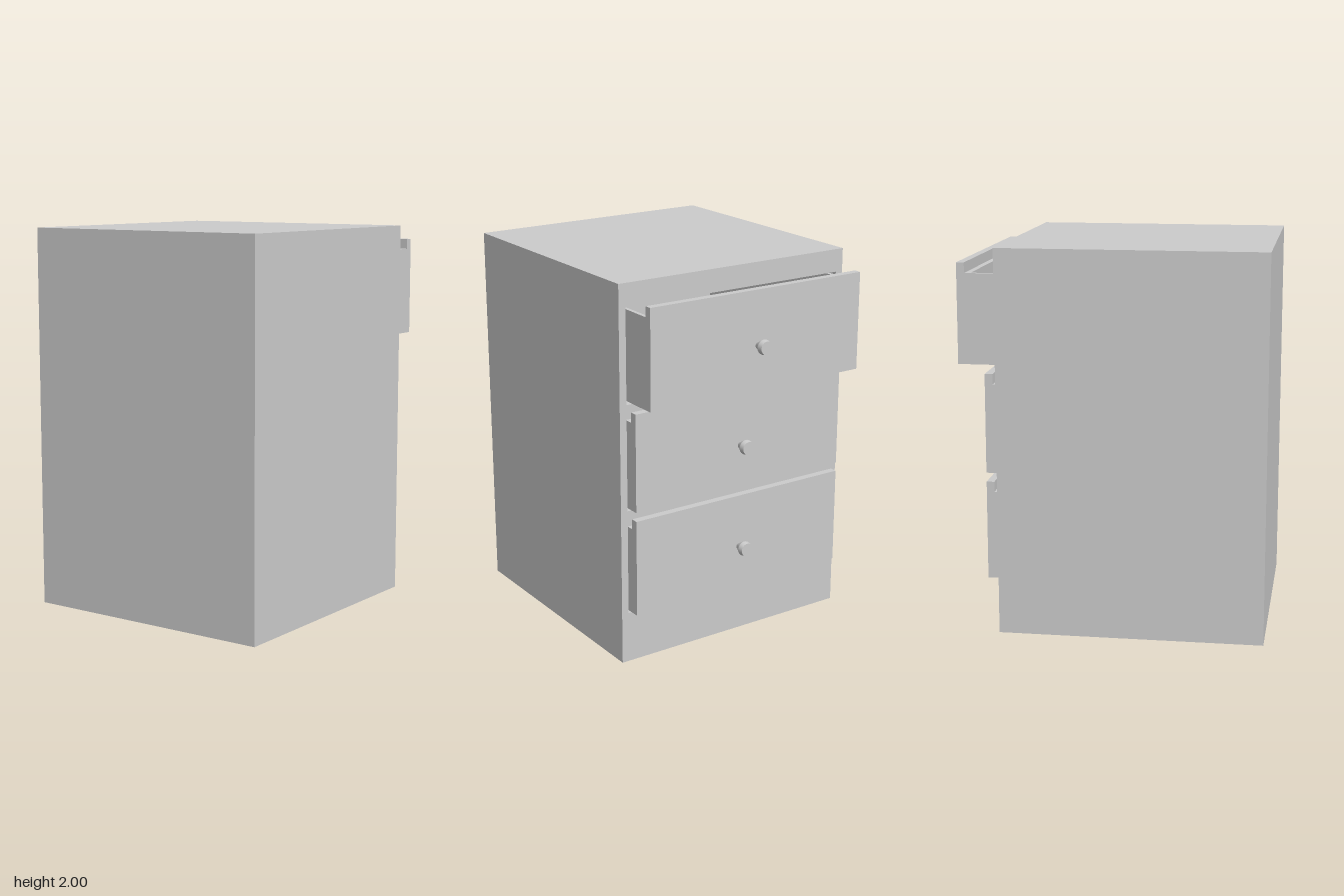
import * as THREE from 'three';

const material = new THREE.MeshStandardMaterial({ color: 0xcccccc });
const smooth = new THREE.MeshStandardMaterial({ color: 0xcccccc, side: THREE.DoubleSide });

// Box given by its lower and upper corners
function box(name, [x0, y0, z0], [x1, y1, z1]) {
  const mesh = new THREE.Mesh(new THREE.BoxGeometry(x1 - x0, y1 - y0, z1 - z0), material);
  mesh.position.set((x0 + x1) / 2, (y0 + y1) / 2, (z0 + z1) / 2);
  mesh.name = name;
  return mesh;
}

function rectangle(path, w, y0, y1) {
  path.moveTo(-w, y0);
  path.lineTo(w, y0);
  path.lineTo(w, y1);
  path.lineTo(-w, y1);
  path.closePath();
  return path;
}

// Drawer with its bottom at y = 0 and the face panel's outer side at x = 0
function makeDrawer() {
  const drawer = new THREE.Group();
  const back = -1.31, w = 0.638, wall = 0.02, top = 0.462;
  drawer.add(
    box('drawerFace', [-0.04, 0, -w], [0, 0.515, w]),
    box('drawerInnerFront', [-0.07, 0, -w], [-0.04, top, w]),
    box('drawerFloor', [back, 0, -w], [-0.07, 0.02, w]),
    box('drawerBack', [back, 0.02, -w], [back + wall, top, w]),
    box('drawerRightSide', [back + wall, 0.02, w - wall], [-0.07, top, w]),
    box('drawerLeftSide', [back + wall, 0.02, -w], [-0.07, top, -w + wall])
  );

  // Flared knob with a flat end
  const stem = [[0.02, 0], [0.02, 0.006], [0.038, 0.04]];
  const rim = [[0.038, 0.04], [0.039, 0.046], [0.035, 0.069]];
  const end = [[0.035, 0.069], [0, 0.069]];
  const knob = new THREE.Group();
  knob.name = 'knob';
  for (const profile of [stem, rim, end]) {
    const points = profile.map(([r, y]) => new THREE.Vector2(r, y));
    const part = new THREE.Mesh(new THREE.LatheGeometry(points, 24), smooth);
    part.name = 'knobPart';
    knob.add(part);
  }
  knob.rotation.z = -Math.PI / 2;
  knob.position.set(0, 0.232, 0);
  drawer.add(knob);
  return drawer;
}

export function createModel() {
  const model = new THREE.Group();
  model.name = 'drawerCabinet';

  // Each row: opening bottom, opening top, drawer bottom, face position
  const rows = [
    [0.272, 0.75, 0.28, 0.615],
    [0.832, 1.315, 0.842, 0.615],
    [1.39, 1.88, 1.405, 0.75]
  ];

  // Cabinet frame with three compartments, closed by a back panel
  const outline = rectangle(new THREE.Shape(), 0.687, 0, 2);
  for (const [y0, y1] of rows) outline.holes.push(rectangle(new THREE.Path(), 0.648, y0, y1));
  const frame = new THREE.Mesh(
    new THREE.ExtrudeGeometry(outline, { depth: 1.33, bevelEnabled: false }), material);
  frame.name = 'cabinetFrame';
  frame.rotation.y = Math.PI / 2;
  frame.position.x = -0.78;
  model.add(frame, box('backPanel', [-0.82, 0, -0.687], [-0.78, 2, 0.687]));

  // Drawers, the top one pulled out
  rows.forEach(([, , y, x], i) => {
    const drawer = makeDrawer();
    drawer.name = ['bottomDrawer', 'middleDrawer', 'topDrawer'][i];
    drawer.position.set(x, y, 0);
    model.add(drawer);
  });
  return model;
}
